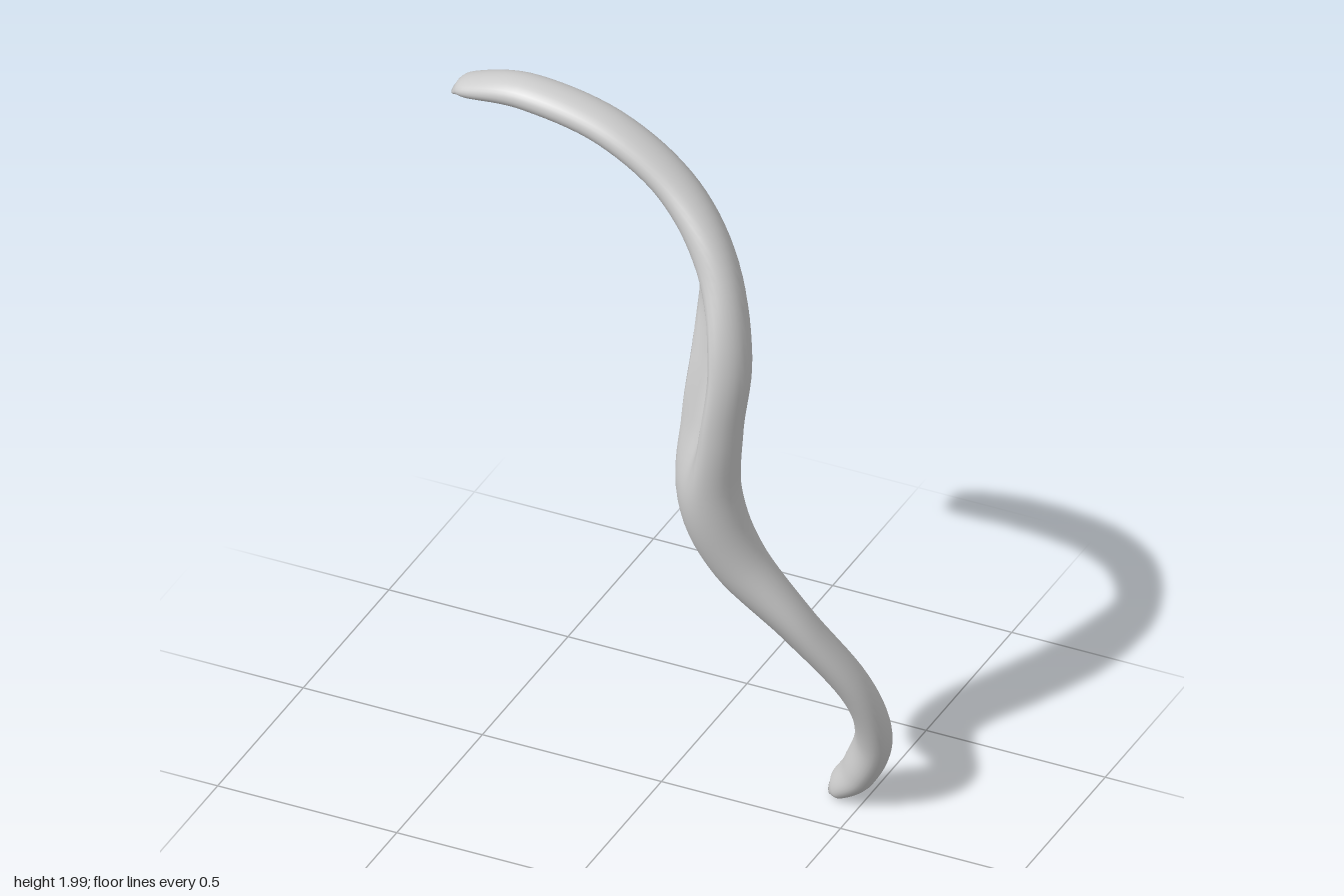
import * as THREE from 'three';

// Stations from the upper tip to the lower tip:
// centre x, y, z, half width, half thickness, width direction (degrees), groove depth
const STATIONS = [
  [-0.585, 1.916, -0.03, 0.032, 0.010, 90, 0],
  [-0.54, 1.935, -0.03, 0.052, 0.028, 90, 0],
  [-0.38, 1.960, -0.025, 0.061, 0.040, 90, 0],
  [-0.16, 1.910, -0.033, 0.064, 0.041, 90, 0],
  [0.03, 1.785, -0.03, 0.067, 0.045, 85, 0],
  [0.155, 1.620, 0.015, 0.078, 0.060, 65, 0.25],
  [0.197, 1.400, 0.085, 0.090, 0.088, 48, 1.0],
  [0.19, 1.200, 0.122, 0.092, 0.088, 45, 0.8],
  [0.188, 1.000, 0.122, 0.090, 0.087, 45, 0.15],
  [0.25, 0.800, 0.08, 0.086, 0.073, 48, 0],
  [0.39, 0.600, 0.018, 0.082, 0.050, 52, 0],
  [0.505, 0.400, -0.062, 0.076, 0.047, 55, 0.2],
  [0.532, 0.230, -0.12, 0.074, 0.050, 57, 0.15],
  [0.487, 0.105, -0.145, 0.070, 0.046, 60, 0],
  [0.430, 0.040, -0.15, 0.052, 0.032, 60, 0],
  [0.405, 0.020, -0.15, 0.028, 0.012, 60, 0],
];
const SIDES = 32;
const STEPS = 110;

// Smooth curve through three columns of the station table
function curveOf(a, b, c) {
  const points = STATIONS.map((s) => new THREE.Vector3(s[a], s[b], s[c]));
  return new THREE.CatmullRomCurve3(points, false, 'catmullrom', 0.5);
}

function bodyGeometry() {
  const centre = curveOf(0, 1, 2);
  const shape = curveOf(3, 4, 5);
  const groove = curveOf(6, 6, 6);
  const positions = [];
  const index = [];

  // Twisting oval rings, with a furrow on the inner side
  for (let i = 0; i <= STEPS; i++) {
    const t = i / STEPS;
    const p = centre.getPoint(t);
    const tangent = centre.getTangent(t);
    const s = shape.getPoint(t);
    const depth = Math.max(0, groove.getPoint(t).x);
    const angle = THREE.MathUtils.degToRad(s.z);
    const u = new THREE.Vector3(Math.cos(angle), 0, Math.sin(angle));
    u.addScaledVector(tangent, -u.dot(tangent)).normalize();
    const v = new THREE.Vector3().crossVectors(tangent, u);
    for (let j = 0; j < SIDES; j++) {
      const a = (j / SIDES) * Math.PI * 2;
      const sin = Math.sin(a);
      const q = p.clone()
        .addScaledVector(u, s.x * Math.cos(a))
        .addScaledVector(v, s.y * (sin - depth * Math.max(0, sin) ** 5));
      positions.push(q.x, q.y, q.z);
    }
  }
  for (let i = 0; i < STEPS; i++) {
    for (let j = 0; j < SIDES; j++) {
      const k = (j + 1) % SIDES;
      const a = i * SIDES + j, b = i * SIDES + k;
      index.push(a, b, a + SIDES, b, b + SIDES, a + SIDES);
    }
  }

  // Closed tips
  const first = positions.length / 3;
  const last = STEPS * SIDES;
  for (const t of [0, 1]) positions.push(...centre.getPoint(t).toArray());
  for (let j = 0; j < SIDES; j++) {
    const k = (j + 1) % SIDES;
    index.push(first, k, j, first + 1, last + j, last + k);
  }

  const geometry = new THREE.BufferGeometry();
  geometry.setAttribute('position', new THREE.Float32BufferAttribute(positions, 3));
  geometry.setIndex(index);
  geometry.computeVertexNormals();
  return geometry;
}

export function createModel() {
  const group = new THREE.Group();
  group.name = 'curvedStrand';
  const body = new THREE.Mesh(bodyGeometry(), new THREE.MeshStandardMaterial({ color: 0xcccccc }));
  body.name = 'strandBody';
  // Stand on the ground
  body.geometry.computeBoundingBox();
  body.geometry.translate(0, -body.geometry.boundingBox.min.y, 0);
  group.add(body);
  return group;
}
